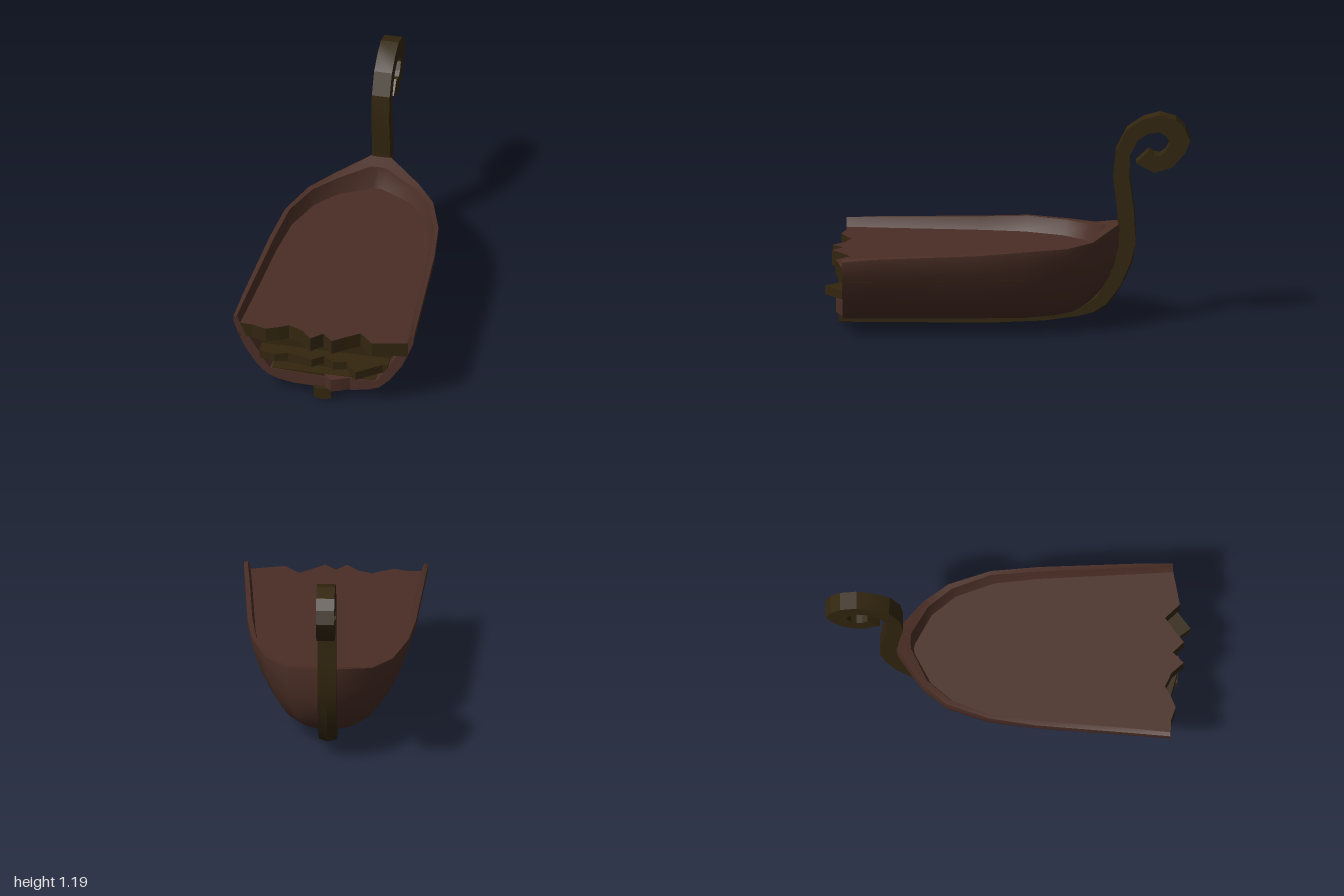
import * as THREE from 'three';
import { toCreasedNormals } from 'three/addons/utils/BufferGeometryUtils.js';

const hullRed = new THREE.MeshStandardMaterial({ color: 0x4a2e25 });
hullRed.name = 'reddish brown wood';
const darkWood = new THREE.MeshStandardMaterial({ color: 0x33260f });
darkWood.name = 'dark olive wood';

const V = (x, y, z) => new THREE.Vector3(x, y, z);

// Skin closed rings of points, optionally capping the first and last ring
function loft(rings, crease, capStart, capEnd) {
  const pos = [];
  const tri = (...pts) => pts.forEach((p) => pos.push(p.x, p.y, p.z));
  for (let i = 0; i < rings.length - 1; i++) {
    const r = rings[i], s = rings[i + 1], n = r.length;
    for (let j = 0; j < n; j++) {
      const k = (j + 1) % n;
      tri(r[j], s[j], s[k]);
      tri(r[j], s[k], r[k]);
    }
  }
  const cap = (ring, next) => {
    const outward = ring[0].clone().sub(next[0]);
    const flat = ring.map((p) => new THREE.Vector2(p.x, p.y));
    for (const [a, b, c] of THREE.ShapeUtils.triangulateShape(flat, [])) {
      const A = ring[a], B = ring[b], C = ring[c];
      const n = B.clone().sub(A).cross(C.clone().sub(A));
      if (n.dot(outward) > 0) tri(A, B, C); else tri(A, C, B);
    }
  };
  if (capStart) cap(rings[0], rings[1]);
  if (capEnd) cap(rings[rings.length - 1], rings[rings.length - 2]);
  const g = new THREE.BufferGeometry();
  g.setAttribute('position', new THREE.Float32BufferAttribute(pos, 3));
  return toCreasedNormals(g, crease);
}

// Horizontal board from an [x, z] outline between two heights
function board(outline, y0, y1) {
  const shape = new THREE.Shape(outline.map(([x, z]) => new THREE.Vector2(x, -z)));
  const g = new THREE.ExtrudeGeometry(shape, { depth: y1 - y0, bevelEnabled: false });
  g.rotateX(-Math.PI / 2);
  g.translate(0, y0, 0);
  return g;
}

// Hull stations: rim x, y, z | keel y, z | inner rim x, y, z
const stations = [
  [0.505, 0.465, 0.9, 0.065, 0.9, 0.485, 0.475, 0.9],
  [0.495, 0.48, 0.7, 0.065, 0.7, 0.47, 0.485, 0.7],
  [0.462, 0.495, 0.16, 0.065, 0.16, 0.435, 0.497, 0.16],
  [0.43, 0.51, -0.1, 0.065, -0.1, 0.405, 0.51, -0.1],
  [0.35, 0.51, -0.33, 0.072, -0.25, 0.325, 0.508, -0.31],
  [0.24, 0.52, -0.47, 0.085, -0.35, 0.215, 0.512, -0.44],
  [0.05, 0.58, -0.61, 0.1, -0.4, 0.045, 0.555, -0.53],
  [0, 0.58, -0.613, 0.1, -0.4, 0, 0.555, -0.535],
];
// Bilge curve from keel to rim, as fractions of width and height
const bilge = [[0, 0], [0.32, 0.01], [0.5, 0.05], [0.62, 0.11], [0.74, 0.26],
  [0.87, 0.51], [0.95, 0.74], [1, 0.91], [1, 1]];

function hullRing([rx, ry, rz, ky, kz, ix, iy, iz]) {
  const outer = bilge.map(([a, b]) =>
    V(rx * a, ky + (ry - ky) * b, kz + (rz - kz) * (1 - (1 - b) ** 3)));
  const shift = iz < 0 ? 0.02 : 0;
  const inner = [
    V(ix, iy, iz),
    V(Math.max(ix - 0.017, 0), 0.425, iz + shift),
    V(ix * 0.62, 0.15, kz + shift * 3),
    V(0, 0.135, kz + shift * 3),
  ];
  const mirror = (p) => V(-p.x, p.y, p.z);
  return [
    ...outer.slice(1).reverse().map(mirror), ...outer,
    ...inner, ...inner.slice(0, 3).reverse().map(mirror),
  ];
}

// Keel, stem and scroll: outer z, y | inner z, y
const keelPath = [
  [0.93, 0.003, 0.93, 0.075], [0.1, 0.003, 0.1, 0.075], [-0.2, 0.02, -0.2, 0.08],
  [-0.4, 0.05, -0.37, 0.1], [-0.48, 0.07, -0.43, 0.125], [-0.55, 0.115, -0.49, 0.17],
  [-0.62, 0.22, -0.555, 0.28], [-0.68, 0.35, -0.59, 0.42], [-0.7, 0.47, -0.605, 0.52],
  [-0.69, 0.65, -0.598, 0.66], [-0.665, 0.85, -0.575, 0.85], [-0.67, 0.97, -0.59, 0.99],
  [-0.71, 1.05, -0.65, 1.11], [-0.77, 1.09, -0.74, 1.17], [-0.83, 1.1, -0.83, 1.195],
  [-0.87, 1.075, -0.92, 1.17], [-0.884, 1.045, -0.97, 1.12], [-0.885, 1.03, -1, 1.05],
  [-0.86, 0.985, -0.97, 0.98], [-0.83, 0.965, -0.9, 0.9], [-0.8, 0.97, -0.8, 0.87],
  [-0.77, 0.99, -0.7, 0.925],
];

function keelRing([zo, yo, zi, yi], i) {
  const v = i < 6 ? 0.2 : i < 8 ? 0.1 : 0; // shallow V under the keel
  const ys = yo + (yi - yo) * v, zs = zo + (zi - zo) * v;
  return [V(-0.05, ys, zs), V(0, yo, zo), V(0.05, ys, zs), V(0.05, yi, zi), V(-0.05, yi, zi)];
}

export function createModel() {
  const model = new THREE.Group();
  model.name = 'brokenShipStern';
  const add = (name, geometry, material) => {
    const mesh = new THREE.Mesh(geometry, material);
    mesh.name = name;
    model.add(mesh);
    return mesh;
  };

  add('hull', loft(stations.map(hullRing), 0.6, true, false), hullRed);
  add('keelAndScroll', loft(keelPath.map(keelRing), 0.35, true, true), darkWood);

  // Deck with a splintered front edge
  const side = stations.slice(0, 7).map(([, , , , , ix, , iz]) =>
    [Math.max(ix - 0.012, 0.02), iz + (iz < 0 ? 0.012 : 0)]);
  const deckBreak = [[-0.4, 0.9], [-0.32, 0.925], [-0.25, 0.895], [-0.2, 0.865], [-0.12, 0.9],
    [-0.06, 0.965], [0, 0.905], [0.06, 0.965], [0.13, 0.91], [0.2, 0.86], [0.28, 0.94]];
  const deckOutline = [
    ...deckBreak, ...side,
    ...side.slice().reverse().map(([x, z]) => [-x, z]),
  ];
  add('deck', board(deckOutline, 0.34, 0.425), [hullRed, darkWood]);

  // Lower deck, seen through the break
  const lowerBreak = [[-0.27, 0.92], [-0.2, 0.895], [-0.06, 0.93], [0, 0.88], [0.06, 0.93],
    [0.13, 0.91], [0.2, 1], [0.33, 0.9]];
  add('lowerDeck', board([[-0.36, 0.9], ...lowerBreak, [0.36, 0.9], [0.36, 0.5], [-0.36, 0.5]],
    0.21, 0.26), darkWood);

  // Dark bulkhead and floor boards between the decks
  const bulkhead = new THREE.Shape([[-0.31, 0.13], [0.31, 0.13], [0.44, 0.36], [-0.44, 0.36]]
    .map(([x, y]) => new THREE.Vector2(x, y)));
  add('bulkhead', new THREE.ShapeGeometry(bulkhead).translate(0, 0, 0.83), darkWood);
  add('floorBoards', board([[-0.29, 0.895], [0.29, 0.895], [0.29, 0.8], [-0.29, 0.8]],
    0.13, 0.153), darkWood);

  // Splinter of hull planking above the keel
  add('hullSplinter', board([[0, 0.89], [0.05, 0.945], [0.1, 0.925], [0.17, 0.89]],
    0.072, 0.15), hullRed);

  return model;
}
